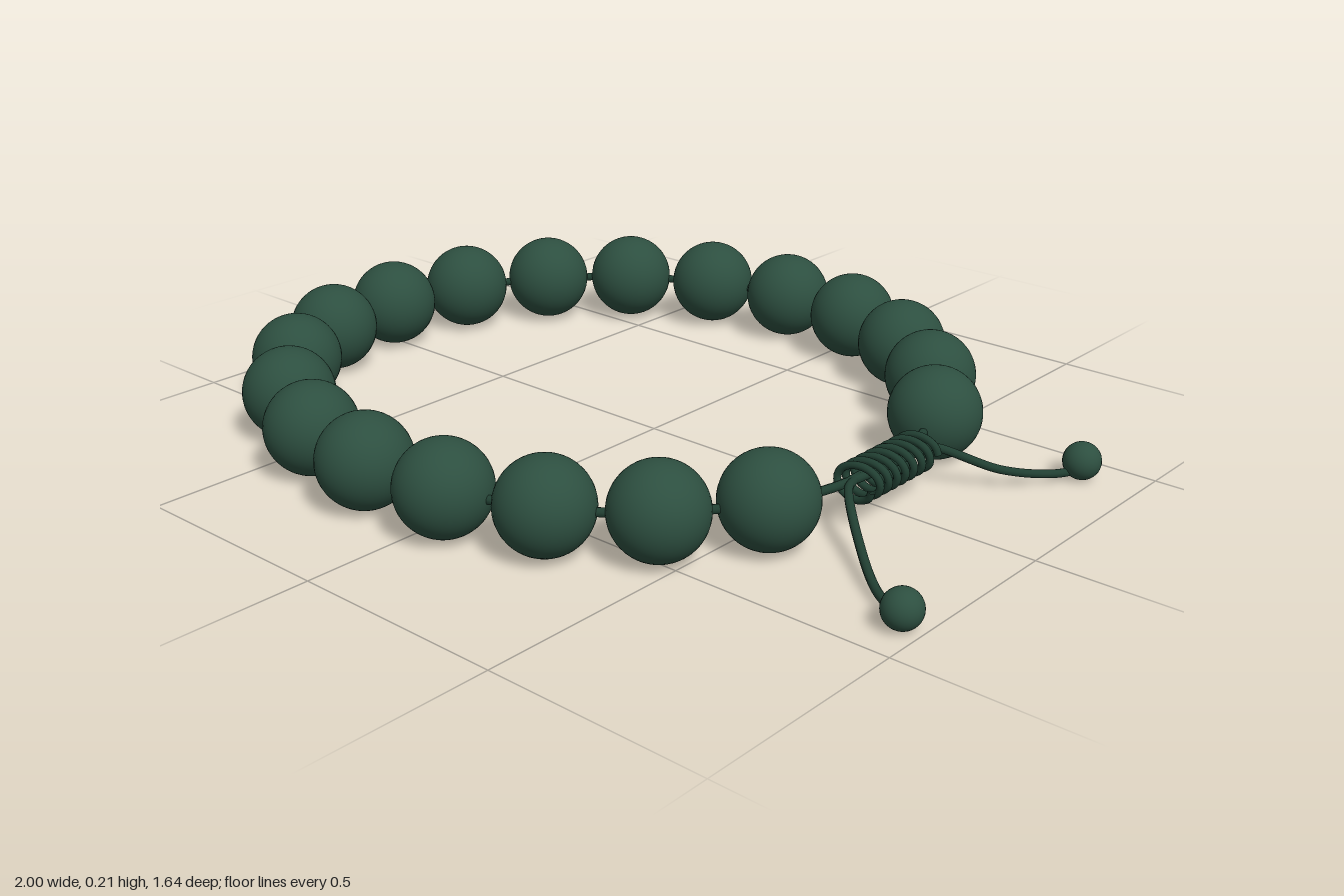
import * as THREE from 'three';

export function createModel() {
  const model = new THREE.Group();
  const beadMat = new THREE.MeshStandardMaterial({ color: 0x2d4f40 });
  beadMat.name = 'bead green';
  const cordMat = new THREE.MeshStandardMaterial({ color: 0x213f32 });
  cordMat.name = 'cord dark green';
  const Y = 0.108;

  const add = (name, geometry, material) => {
    const mesh = new THREE.Mesh(geometry, material);
    mesh.name = name;
    model.add(mesh);
    return mesh;
  };
  const cord = (name, points, radius, segments) => add(name,
    new THREE.TubeGeometry(new THREE.CatmullRomCurve3(points), segments, radius, 10), cordMat);
  const v = (x, y, z) => new THREE.Vector3(x, y, z);

  // Bead centres (x, z) around the loop, open at the +x side
  const centres = [
    [0.565, -0.295], [0.43, -0.48], [0.258, -0.615], [0.05, -0.70], [-0.172, -0.72],
    [-0.39, -0.675], [-0.588, -0.568], [-0.745, -0.41], [-0.855, -0.214], [-0.895, 0.004],
    [-0.865, 0.225], [-0.76, 0.422], [-0.595, 0.573], [-0.392, 0.67], [-0.172, 0.707],
    [0.05, 0.69], [0.26, 0.615], [0.443, 0.485], [0.572, 0.303],
  ];
  const beadGeo = new THREE.SphereGeometry(0.105, 40, 28);
  centres.forEach(([x, z], i) => add(`bead${i + 1}`, beadGeo, beadMat).position.set(x, Y, z));

  // Main cord threaded through the beads, its ends crossing inside the knot
  cord('mainCord', [
    v(0.63, 0.1, 0.12), v(0.622, 0.1, -0.1), v(0.605, 0.1, -0.18),
    ...centres.map(([x, z]) => v(x, 0.103, z)),
    v(0.612, 0.1, 0.2), v(0.632, 0.1, 0.1), v(0.65, 0.1, -0.12),
  ], 0.01, 260);

  // Sliding knot: a coil wrapped around the cord ends
  const coil = [];
  const turns = 8;
  for (let i = 0; i <= turns * 12; i++) {
    const a = (i / 12) * Math.PI * 2;
    coil.push(v(0.643 + 0.048 * Math.cos(a), 0.1 + 0.034 * Math.sin(a),
      -0.117 + 0.24 * i / (turns * 12)));
  }
  cord('knotCoil', coil, 0.0085, 300);

  // Loose tails drooping to the ground, each ending in a small bead
  const tails = [
    ['backTail', [v(0.642, 0.1, -0.1), v(0.655, 0.1, -0.145), v(0.765, 0.044, -0.25),
      v(0.835, 0.023, -0.345), v(0.872, 0.024, -0.405)], v(0.872, 0.045, -0.405)],
    ['frontTail', [v(0.632, 0.1, 0.1), v(0.65, 0.1, 0.145), v(0.755, 0.049, 0.25),
      v(0.86, 0.022, 0.34), v(0.957, 0.024, 0.4)], v(0.957, 0.045, 0.4)],
  ];
  const endGeo = new THREE.SphereGeometry(0.042, 28, 20);
  for (const [name, points, end] of tails) {
    cord(name, points, 0.0095, 40);
    add(name + 'Bead', endGeo, beadMat).position.copy(end);
  }
  return model;
}
